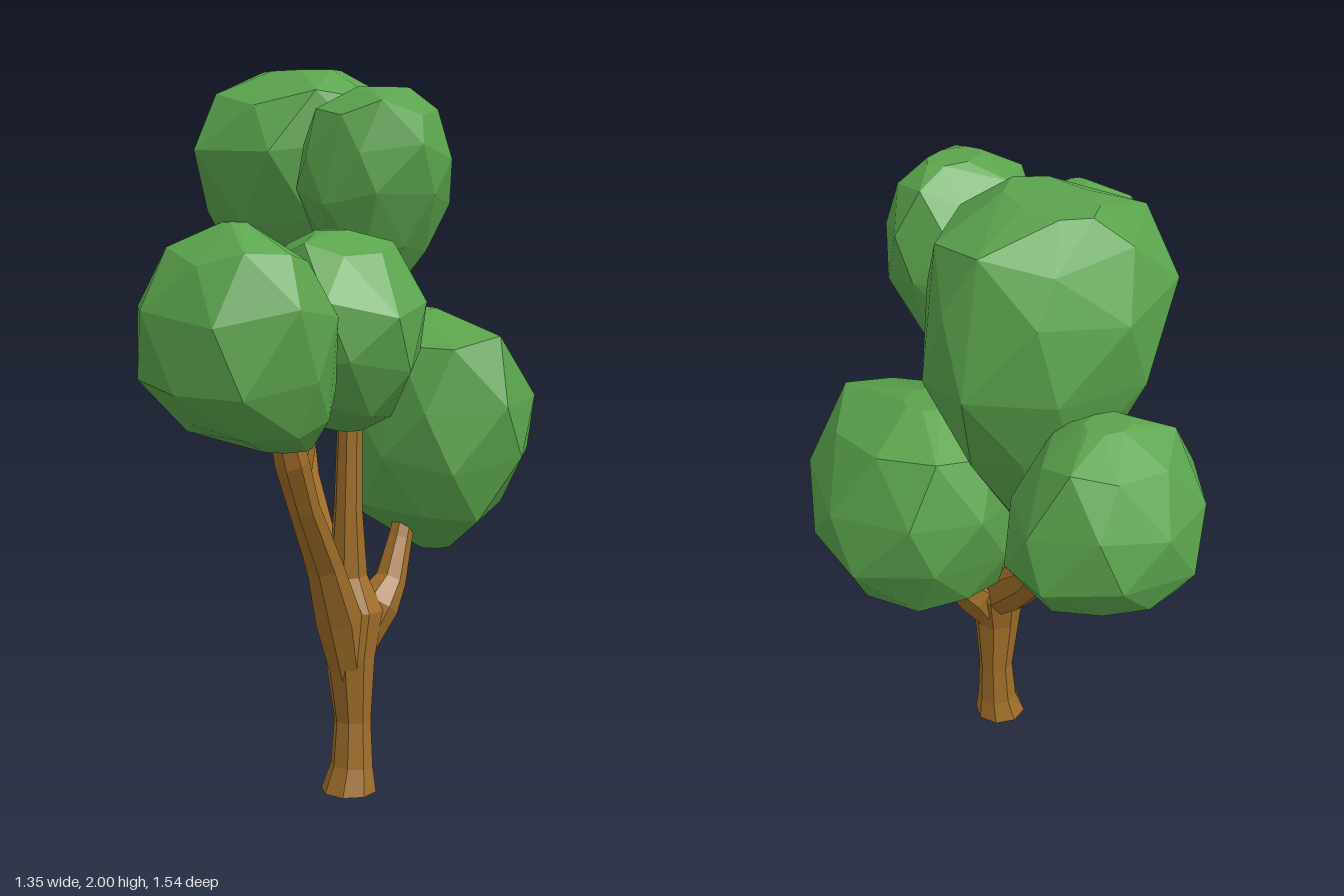
import * as THREE from 'three';
import { ConvexGeometry } from 'three/addons/geometries/ConvexGeometry.js';

const bark = new THREE.MeshStandardMaterial({ color: 0xa06e29, flatShading: true });
const leaf = new THREE.MeshStandardMaterial({ color: 0x5ba44d, flatShading: true });

// Tapered, faceted limb through points [x, y, z, radius]
function limb(name, points, sides = 7) {
  const n = points.length - 1;
  const centres = points.map(p => new THREE.Vector3(p[0], p[1], p[2]));
  const up = new THREE.Vector3(0, 1, 0);
  const turns = centres.map((c, i) => {
    const dir = centres[Math.min(i + 1, n)].clone().sub(centres[Math.max(i - 1, 0)]).normalize();
    if (c.y === 0) dir.copy(up); // flat foot on the ground
    return new THREE.Quaternion().setFromUnitVectors(up, dir);
  });
  const geo = new THREE.CylinderGeometry(1, 1, 1, sides, n);
  const pos = geo.attributes.position;
  const v = new THREE.Vector3();
  for (let i = 0; i < pos.count; i++) {
    v.fromBufferAttribute(pos, i);
    const k = Math.round((v.y + 0.5) * n);
    v.setY(0).multiplyScalar(points[k][3]).applyQuaternion(turns[k]).add(centres[k]);
    pos.setXYZ(i, v.x, v.y, v.z);
  }
  geo.computeVertexNormals();
  const mesh = new THREE.Mesh(geo, bark);
  mesh.name = name;
  return mesh;
}

// Boulder-like leaf clump: hull around level outlines [y, x, z, x radius, z radius]
function clump(name, outlines) {
  const sides = 8;
  const points = [];
  outlines.forEach(([y, x, z, rx, rz], i) => {
    const inner = i > 0 && i < outlines.length - 1;
    for (let j = 0; j < sides; j++) {
      const a = (j + i * 0.5 + 0.12 * Math.sin(j * 5 + i * 3)) / sides * Math.PI * 2;
      const dy = inner ? 0.022 * Math.sin(j * 2.4 + i * 1.7 + x * 9) : 0;
      points.push(new THREE.Vector3(x + 1.03 * rx * Math.cos(a), y + dy, z + 1.03 * rz * Math.sin(a)));
    }
  });
  const mesh = new THREE.Mesh(new ConvexGeometry(points), leaf);
  mesh.name = name;
  return mesh;
}

export function createModel() {
  const tree = new THREE.Group();
  tree.name = 'tree';

  // Trunk and branches
  const wood = new THREE.Group();
  wood.name = 'wood';
  wood.add(
    limb('trunk', [
      [0.065, 0, 0.29, 0.078], [0.075, 0.07, 0.29, 0.06], [0.08, 0.2, 0.285, 0.052],
      [0.07, 0.38, 0.285, 0.07], [0.08, 0.51, 0.275, 0.09], [0.075, 0.61, 0.265, 0.055],
      [0.068, 0.8, 0.275, 0.04], [0.07, 1.15, 0.28, 0.033], [0.11, 1.45, 0.275, 0.025],
    ], 8),
    limb('rightBranch', [
      [0.06, 0.34, 0.29, 0.05], [0.01, 0.51, 0.315, 0.066], [-0.075, 0.68, 0.375, 0.05],
      [-0.19, 0.86, 0.455, 0.042], [-0.255, 0.99, 0.5, 0.046], [-0.32, 1.16, 0.53, 0.03],
    ]),
    limb('rightTwig', [
      [-0.23, 0.92, 0.49, 0.03], [-0.2, 1.04, 0.47, 0.034],
      [-0.14, 1.25, 0.36, 0.03], [-0.08, 1.47, 0.22, 0.03],
    ], 6),
    limb('leftBranch', [
      [0.08, 0.38, 0.285, 0.045], [0.16, 0.52, 0.28, 0.065], [0.215, 0.58, 0.27, 0.045],
      [0.26, 0.69, 0.25, 0.035], [0.33, 0.88, 0.22, 0.025],
    ]),
    limb('backBranch', [
      [0.08, 0.46, 0.27, 0.055], [0.09, 0.57, 0.16, 0.068], [0.105, 0.67, 0.055, 0.056],
      [0.14, 0.83, -0.07, 0.046], [0.18, 0.95, -0.16, 0.046], [0.22, 1.07, -0.185, 0.036],
      [0.24, 1.25, -0.2, 0.025],
    ]),
    limb('backTwig', [
      [0.17, 0.9, -0.12, 0.035], [0.21, 0.97, -0.24, 0.034],
      [0.25, 1.07, -0.37, 0.03], [0.29, 1.2, -0.47, 0.022],
    ], 6),
  );

  // Leaf clumps, each from top to bottom
  const leaves = new THREE.Group();
  leaves.name = 'leaves';
  leaves.add(
    clump('rightClump', [
      [1.6, -0.45, 0.55, 0.03, 0.03], [1.52, -0.43, 0.53, 0.17, 0.17], [1.38, -0.425, 0.51, 0.245, 0.26],
      [1.2, -0.42, 0.51, 0.24, 0.25], [1.09, -0.37, 0.52, 0.18, 0.18], [1.03, -0.3, 0.54, 0.07, 0.06],
    ]),
    clump('innerRightClump', [
      [1.57, -0.09, 0.43, 0.04, 0.04], [1.52, -0.08, 0.43, 0.15, 0.15], [1.38, -0.08, 0.44, 0.215, 0.245],
      [1.24, -0.08, 0.44, 0.21, 0.235], [1.11, -0.09, 0.45, 0.14, 0.15], [1.05, -0.05, 0.45, 0.04, 0.04],
    ]),
    clump('frontTopClump', [
      [1.94, 0.17, 0.28, 0.08, 0.05], [1.88, 0.15, 0.28, 0.17, 0.14], [1.77, 0.16, 0.265, 0.21, 0.185],
      [1.65, 0.16, 0.25, 0.215, 0.185], [1.5, 0.17, 0.23, 0.15, 0.14], [1.36, 0.17, 0.24, 0.04, 0.03],
    ]),
    clump('crownClump', [
      [2, 0.2, -0.18, 0.09, 0.15], [1.92, 0.21, -0.16, 0.27, 0.24], [1.78, 0.19, -0.175, 0.33, 0.28],
      [1.58, 0.24, -0.19, 0.31, 0.265], [1.38, 0.28, -0.2, 0.2, 0.18], [1.09, 0.26, -0.2, 0.06, 0.05],
    ]),
    clump('backClump', [
      [1.56, 0.29, -0.52, 0.06, 0.05], [1.5, 0.3, -0.54, 0.17, 0.15], [1.36, 0.3, -0.54, 0.25, 0.215],
      [1.22, 0.31, -0.535, 0.255, 0.23], [1.12, 0.3, -0.53, 0.18, 0.18], [1.07, 0.28, -0.52, 0.06, 0.07],
    ]),
    clump('leftClump', [
      [1.33, 0.37, 0.16, 0.06, 0.06], [1.25, 0.38, 0.2, 0.2, 0.265], [1.08, 0.4, 0.2, 0.265, 0.31],
      [0.92, 0.405, 0.2, 0.265, 0.3], [0.77, 0.38, 0.2, 0.2, 0.23], [0.65, 0.4, 0.23, 0.05, 0.04],
    ]),
  );

  tree.add(wood, leaves);
  return tree;
}
